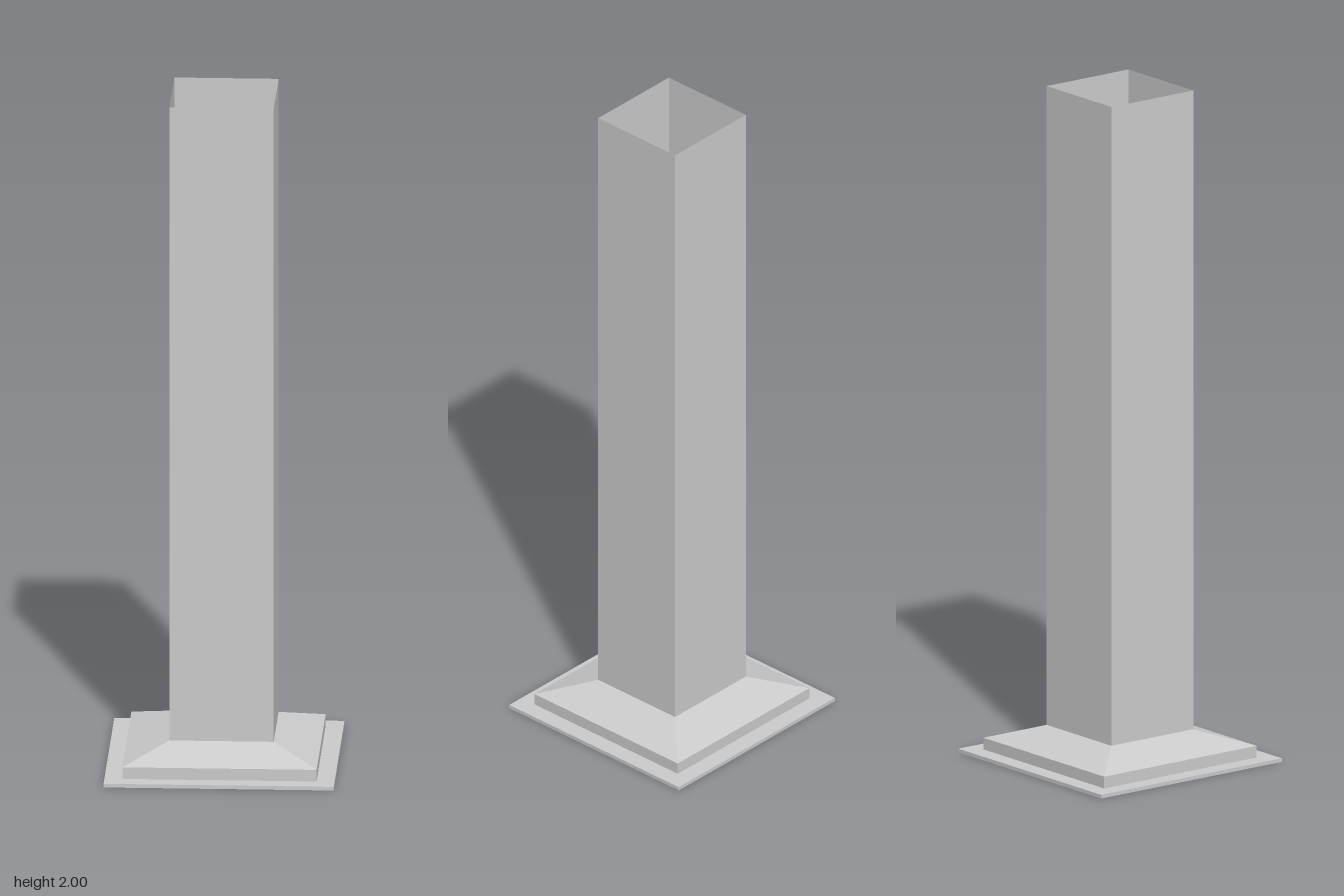
import * as THREE from 'three';

const material = new THREE.MeshStandardMaterial({
  color: 0xcccccc, flatShading: true, side: THREE.DoubleSide,
});

// Open four-sided sleeve, given half-widths at its top and bottom
function squareSleeve(name, topHalf, bottomHalf, y0, y1) {
  const geometry = new THREE.CylinderGeometry(
    topHalf * Math.SQRT2, bottomHalf * Math.SQRT2, y1 - y0, 4, 1, true);
  geometry.rotateY(Math.PI / 4);
  geometry.translate(0, (y0 + y1) / 2, 0);
  const mesh = new THREE.Mesh(geometry, material);
  mesh.name = name;
  return mesh;
}

export function createModel() {
  const model = new THREE.Group();
  model.name = 'squarePost';

  // Thin plate on the ground, closing the hollow post from below
  const plateHeight = 0.011;
  const plate = new THREE.Mesh(new THREE.BoxGeometry(0.666, plateHeight, 0.666), material);
  plate.position.y = plateHeight / 2;
  plate.name = 'basePlate';
  model.add(plate);

  // Collar: upright rim, then a slope rising to the post
  const collar = new THREE.Group();
  collar.name = 'collar';
  collar.add(
    squareSleeve('collarRim', 0.281, 0.281, plateHeight, 0.046),
    squareSleeve('collarSlope', 0.151, 0.281, 0.046, 0.09),
  );
  model.add(collar);

  // Hollow post, open at the top
  model.add(squareSleeve('post', 0.151, 0.151, plateHeight, 2));
  return model;
}
